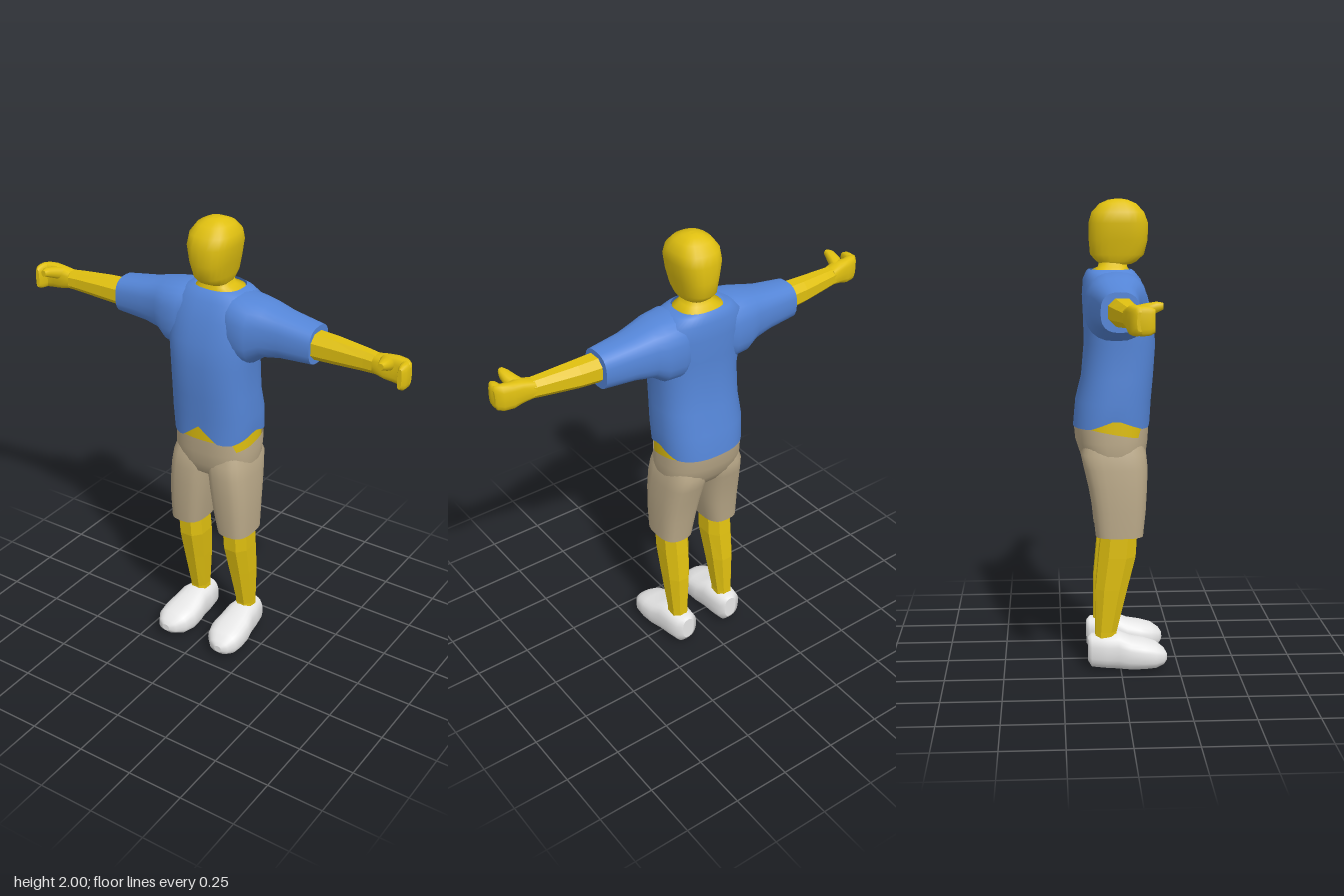
import * as THREE from 'three';

const mat = (name, color, extra = {}) =>
  Object.assign(new THREE.MeshStandardMaterial({ color, ...extra }), { name });

// Axis mappings: (a, b, t) is right-handed in each, t runs along the part
const UP = (t, a, b) => [b, t, a];    // a = z, b = x
const SIDE = (t, a, b) => [t, a, b];  // a = y, b = z
const FRONT = (t, a, b) => [a, b, t]; // a = x, b = y

// Skins rounded cross-sections [t, aMin, aMax, bMin, bMax]; side -1 mirrors in x
function loft(rings, { axis = UP, n = 24, p = 2.4, side = 1, caps = true, flat = false, edit } = {}) {
  const pos = [], idx = [];
  const face = (a, b, c) => (side > 0 ? idx.push(a, b, c) : idx.push(a, c, b));
  const put = (q) => pos.push(q[0] * side, q[1], q[2]);
  const curve = (v) => Math.sign(v) * Math.abs(v) ** (2 / p);
  const section = ([t, a0, a1, b0, b1], i) => Array.from({ length: n }, (_, j) => {
    const w = ((j + (flat ? 0.5 : 0)) / n) * Math.PI * 2;
    const q = axis(t, (a0 + a1) / 2 + (a1 - a0) / 2 * curve(Math.cos(w)),
      (b0 + b1) / 2 + (b1 - b0) / 2 * curve(Math.sin(w)));
    if (edit) edit(q, i);
    return q;
  });
  const loops = rings.map(section);
  loops.forEach((l) => l.forEach(put));
  for (let i = 0; i < rings.length - 1; i++) {
    for (let j = 0; j < n; j++) {
      const k = (j + 1) % n, u = i * n, v = u + n;
      face(u + j, u + k, v + k);
      face(u + j, v + k, v + j);
    }
  }
  if (caps) {
    [0, rings.length - 1].forEach((r) => {
      const [t, a0, a1, b0, b1] = rings[r], base = pos.length / 3;
      loops[r].forEach(put);
      put(axis(t, (a0 + a1) / 2, (b0 + b1) / 2));
      for (let j = 0; j < n; j++) {
        const k = (j + 1) % n;
        if (r) face(base + j, base + k, base + n);
        else face(base + k, base + j, base + n);
      }
    });
  }
  let g = new THREE.BufferGeometry();
  g.setAttribute('position', new THREE.Float32BufferAttribute(pos, 3));
  g.setIndex(idx);
  if (flat) g = g.toNonIndexed();
  g.computeVertexNormals();
  return g;
}

export function createModel() {
  const model = new THREE.Group();
  model.name = 'standingFigure';
  const skin = mat('yellow skin', 0xe0c010);
  const blue = mat('blue cloth', 0x5586d8, { side: THREE.DoubleSide });
  const tan = mat('tan cloth', 0xb9a888, { side: THREE.DoubleSide });
  const white = mat('white shoe', 0xe8e8e8);
  const add = (name, geometry, material) => {
    const m = new THREE.Mesh(geometry, material);
    m.name = name;
    model.add(m);
  };

  // Head and neck
  add('head', loft([
    [1.73, -0.08, 0.05, -0.055, 0.055],
    [1.742, -0.095, 0.075, -0.064, 0.064],
    [1.77, -0.122, 0.105, -0.072, 0.072],
    [1.83, -0.127, 0.12, -0.086, 0.086],
    [1.9, -0.128, 0.122, -0.1, 0.1],
    [1.945, -0.115, 0.105, -0.095, 0.095],
    [1.98, -0.082, 0.072, -0.07, 0.07],
    [1.996, -0.045, 0.035, -0.038, 0.038],
    [2.0, -0.015, 0.01, -0.012, 0.012],
  ], { p: 2.5 }), skin);
  add('neck', loft([
    [1.66, -0.125, 0.055, -0.1, 0.1],
    [1.703, -0.122, 0.045, -0.1, 0.1],
    [1.718, -0.09, 0.035, -0.065, 0.065],
    [1.75, -0.08, 0.03, -0.055, 0.055],
  ], { p: 2.6 }), skin);

  // Shirt body, its hem notched at the front and at both hips
  add('shirtBody', loft([
    [1.05, -0.197, 0.13, -0.186, 0.186],
    [1.16, -0.187, 0.134, -0.192, 0.192],
    [1.26, -0.162, 0.143, -0.187, 0.187],
    [1.4, -0.15, 0.152, -0.187, 0.187],
    [1.5, -0.152, 0.142, -0.2, 0.2],
    [1.6, -0.157, 0.118, -0.205, 0.205],
    [1.67, -0.152, 0.088, -0.19, 0.19],
    [1.7, -0.138, 0.064, -0.14, 0.14],
    [1.71, -0.128, 0.05, -0.105, 0.105],
  ], {
    n: 48, p: 2.5, caps: false,
    edit: (q, i) => {
      if (i) return;
      if (q[2] > 0.05) q[1] += 0.07 * Math.max(0, 1 - Math.abs(q[0]) / 0.09);
      if (Math.abs(q[0]) > 0.13) q[1] += 0.042 * Math.max(0, 1 - Math.abs(q[2] + 0.02) / 0.11);
    },
  }), blue);

  // Bare waist showing through the notches
  add('waist', loft([
    [0.97, -0.18, 0.114, -0.177, 0.177],
    [1.14, -0.176, 0.123, -0.18, 0.18],
  ], { n: 48, p: 2.5 }), skin);

  // Shorts seat with waistband dipping at the hips
  add('shortsSeat', loft([
    [0.86, -0.07, 0.05, -0.08, 0.08],
    [0.88, -0.135, 0.095, -0.17, 0.17],
    [0.93, -0.168, 0.113, -0.184, 0.184],
    [0.99, -0.188, 0.121, -0.185, 0.185],
    [1.055, -0.194, 0.124, -0.183, 0.183],
  ], {
    n: 48, p: 2.5, caps: false,
    edit: (q, i) => {
      if (i === 4 && Math.abs(q[0]) > 0.13 && q[2] < 0.085 && q[2] > -0.15)
        q[1] -= 0.045 * (q[2] + 0.15) / 0.235;
    },
  }), tan);

  for (const [label, side] of [['left', 1], ['right', -1]]) {
    const along = { axis: SIDE, side };

    // Sleeve, forearm and hand
    add(label + 'Sleeve', loft([
      [0.06, 1.46, 1.7, -0.13, 0.08],
      [0.13, 1.42, 1.704, -0.15, 0.11],
      [0.2, 1.425, 1.694, -0.145, 0.105],
      [0.25, 1.462, 1.684, -0.133, 0.085],
      [0.33, 1.476, 1.664, -0.116, 0.068],
      [0.472, 1.485, 1.643, -0.098, 0.056],
    ], { ...along, p: 2.6 }), blue);
    add(label + 'Forearm', loft([
      [0.42, 1.505, 1.625, -0.077, 0.047],
      [0.56, 1.512, 1.62, -0.064, 0.044],
      [0.7, 1.523, 1.612, -0.04, 0.042],
      [0.79, 1.53, 1.605, -0.022, 0.045],
    ], { ...along, n: 8, flat: true }), skin);
    add(label + 'Palm', loft([
      [0.74, 1.532, 1.606, -0.03, 0.043],
      [0.79, 1.522, 1.618, -0.024, 0.05],
      [0.83, 1.512, 1.622, -0.02, 0.035],
      [0.87, 1.511, 1.622, -0.012, 0.045],
      [0.89, 1.515, 1.618, 0.005, 0.045],
      [0.896, 1.53, 1.6, 0.015, 0.04],
    ], { ...along, n: 16, p: 3 }), skin);
    add(label + 'Fingers', loft([
      [0.015, 0.85, 0.893, 1.513, 1.62],
      [0.04, 0.855, 0.9, 1.512, 1.621],
      [0.065, 0.86, 0.897, 1.515, 1.618],
      [0.082, 0.868, 0.886, 1.525, 1.608],
    ], { axis: FRONT, side, n: 16, p: 3 }), skin);
    add(label + 'Thumb', loft([
      [0.01, 0.755, 0.82, 1.555, 1.615],
      [0.05, 0.775, 0.835, 1.572, 1.625],
      [0.09, 0.79, 0.835, 1.59, 1.632],
      [0.115, 0.8, 0.825, 1.602, 1.628],
    ], { axis: FRONT, side, n: 12 }), skin);

    // Shorts leg, shin and shoe
    add(label + 'ShortsLeg', loft([
      [0.59, -0.106, 0.096, 0.045, 0.197],
      [0.7, -0.118, 0.108, 0.025, 0.199],
      [0.8, -0.136, 0.114, 0.01, 0.197],
      [0.88, -0.155, 0.116, -0.001, 0.191],
      [0.94, -0.168, 0.11, -0.012, 0.184],
      [1.0, -0.15, 0.09, -0.01, 0.165],
    ], { p: 2.8, side }), tan);
    add(label + 'Shin', loft([
      [0.1, -0.115, -0.015, 0.083, 0.165],
      [0.17, -0.112, -0.015, 0.083, 0.166],
      [0.36, -0.112, 0.032, 0.064, 0.178],
      [0.5, -0.1, 0.068, 0.052, 0.183],
      [0.64, -0.085, 0.076, 0.055, 0.183],
    ], { n: 8, flat: true, side }), skin);
    add(label + 'Shoe', loft([
      [-0.14, 0.09, 0.15, 0.035, 0.14],
      [-0.125, 0.066, 0.178, 0.012, 0.155],
      [-0.06, 0.058, 0.19, 0.006, 0.157],
      [-0.01, 0.055, 0.198, 0.004, 0.164],
      [0.04, 0.048, 0.21, 0.002, 0.142],
      [0.1, 0.045, 0.215, 0.004, 0.13],
      [0.15, 0.06, 0.21, 0.01, 0.115],
      [0.185, 0.092, 0.188, 0.025, 0.09],
      [0.198, 0.125, 0.16, 0.04, 0.07],
    ], { axis: FRONT, side, p: 2.6 }), white);
  }

  // Set the soles on the ground
  model.position.y = -0.002;
  return model;
}
